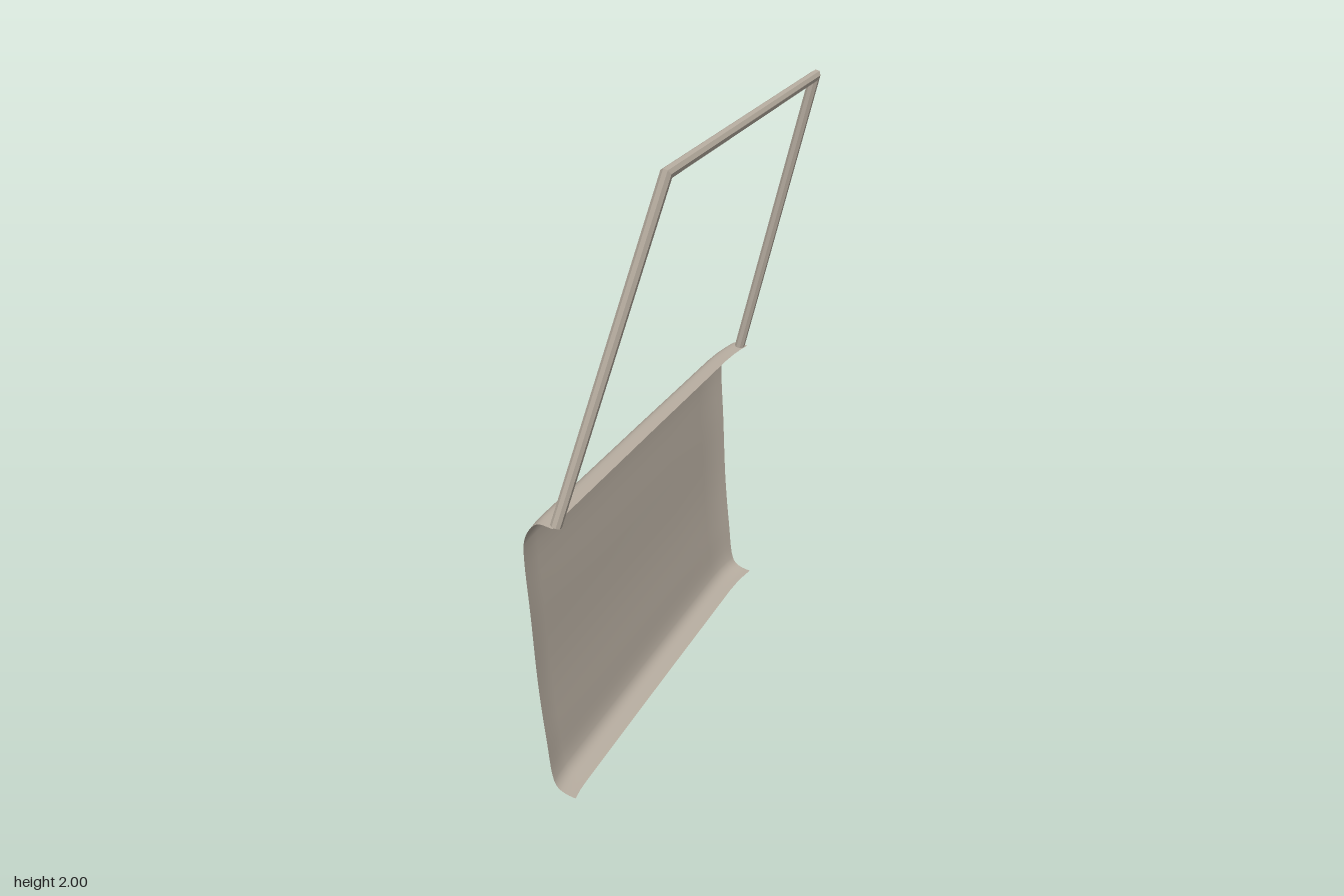
import * as THREE from 'three';

const paint = new THREE.MeshStandardMaterial({ color: 0xb8aea1, side: THREE.DoubleSide });
paint.name = 'warm grey paint';
const paintFlat = paint.clone(); // same colour, faceted tube
paintFlat.flatShading = true;

// Curved sheet: a side profile swept along z, with its ends curling inwards
function makePanel() {
  const profile = new THREE.CatmullRomCurve3([
    [-0.055, 0], [-0.085, 0.005], [-0.112, 0.018], [-0.129, 0.045], [-0.148, 0.2], [-0.166, 0.4],
    [-0.178, 0.65], [-0.188, 0.9], [-0.178, 0.94], [-0.158, 0.972], [-0.135, 0.988], [-0.088, 0.984],
  ].map(([x, y]) => new THREE.Vector3(x, y, 0)));
  // z station and inward offset
  const stations = [
    [0.71, 0.006], [0.665, 0.001], [0.62, 0], [0.3, 0.002], [0, 0.004],
    [-0.3, 0.007], [-0.55, 0.009], [-0.62, 0.013], [-0.67, 0.02], [-0.71, 0.028],
  ];
  const rows = 55;
  const geo = new THREE.PlaneGeometry(1, 1, stations.length - 1, rows);
  const pos = geo.attributes.position;
  for (let j = 0; j <= rows; j++) {
    const p = profile.getPoint(j / rows);
    stations.forEach(([z, inset], i) => {
      const drop = 0.007 * (1 - z / 0.71) * p.y; // waistline falls towards the back
      pos.setXYZ(j * stations.length + i, p.x + inset, Math.max(0, p.y - drop), z);
    });
  }
  geo.computeVertexNormals();
  const mesh = new THREE.Mesh(geo, paint);
  mesh.name = 'doorPanel';
  return mesh;
}

// Octagonal tube with mitred corners, following a planar path
function makeFrame() {
  const path = [
    [-0.083, 0.982, 0.69], [0.171, 1.985, 0.482], [0.171, 1.985, -0.655], [-0.083, 0.972, -0.69],
  ].map((p) => new THREE.Vector3(...p));
  const sides = 8, r = 0.0175;
  const normal = path[1].clone().sub(path[0]).cross(path[2].clone().sub(path[1])).normalize();
  const verts = [], index = [];
  path.forEach((p, i) => {
    const a = p.clone().sub(path[Math.max(i - 1, 0)]).normalize();
    const b = path[Math.min(i + 1, path.length - 1)].clone().sub(p).normalize();
    const tangent = a.clone().add(b).normalize();
    const across = normal.clone().cross(tangent).normalize();
    const stretch = 1 / tangent.dot(i === 0 ? b : a);
    for (let k = 0; k < sides; k++) {
      const t = ((k + 0.5) / sides) * Math.PI * 2;
      const v = p.clone().addScaledVector(across, Math.cos(t) * r * stretch)
        .addScaledVector(normal, Math.sin(t) * r);
      verts.push(v.x, v.y, v.z);
      if (i > 0) {
        const n = (k + 1) % sides, lo = (i - 1) * sides, hi = i * sides;
        index.push(lo + k, hi + n, hi + k, lo + k, lo + n, hi + n);
      }
    }
  });
  // end caps
  const last = (path.length - 1) * sides;
  for (let k = 1; k < sides - 1; k++) index.push(0, k + 1, k, last, last + k, last + k + 1);
  const geo = new THREE.BufferGeometry();
  geo.setAttribute('position', new THREE.Float32BufferAttribute(verts, 3));
  geo.setIndex(index);
  geo.computeVertexNormals();
  const mesh = new THREE.Mesh(geo, paintFlat);
  mesh.name = 'windowFrame';
  return mesh;
}

export function createModel() {
  const group = new THREE.Group();
  group.name = 'vehicleDoor';
  group.add(makePanel(), makeFrame());
  return group;
}
